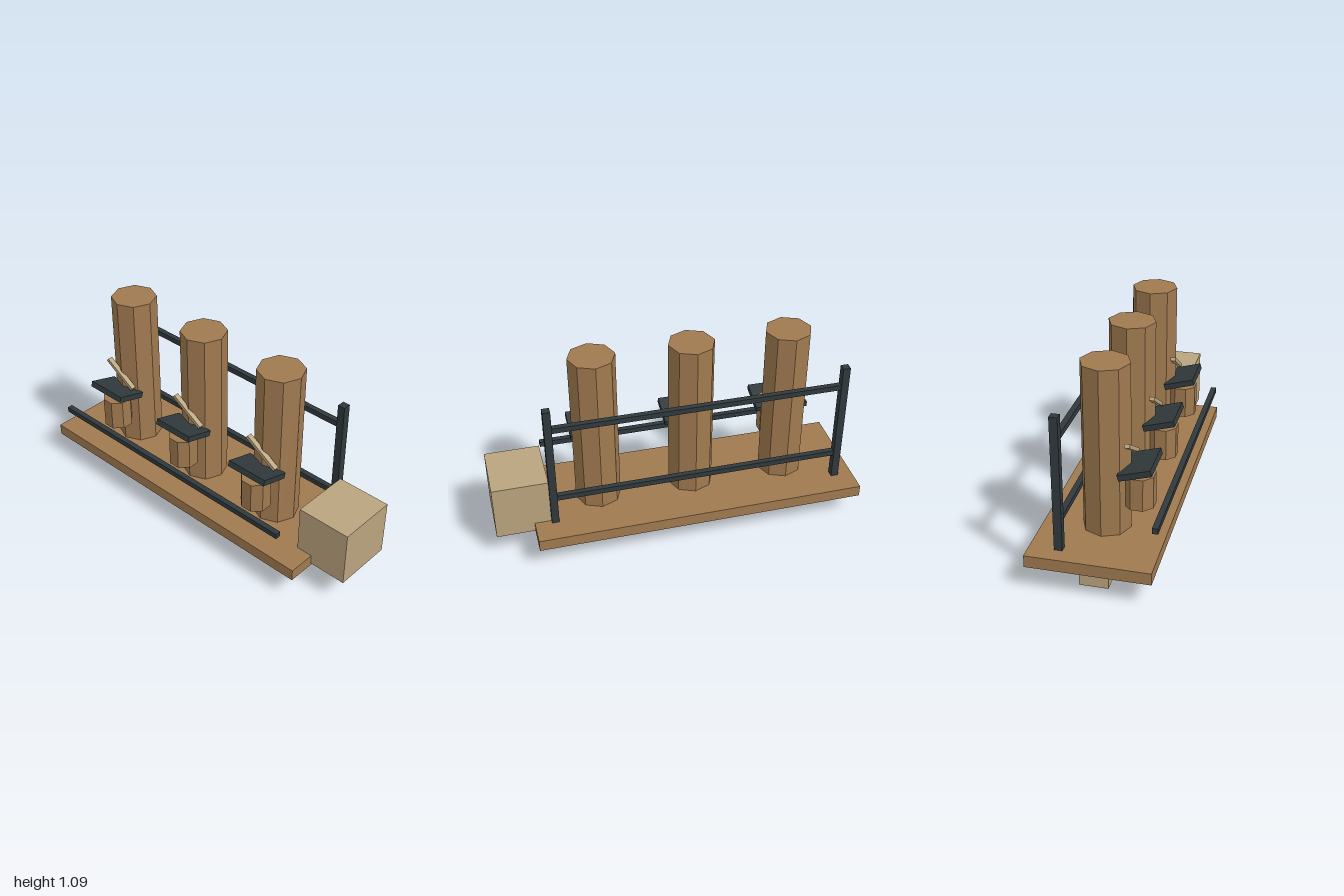
import * as THREE from 'three';

const material = (color) => new THREE.MeshStandardMaterial({ color, flatShading: true });

export function createModel() {
  const model = new THREE.Group();
  const wood = material(0xa07a50);
  const dark = material(0x30393c);
  const pale = material(0xbaa47e);

  const add = (name, geometry, mat, x, y, z, parent = model) => {
    const mesh = new THREE.Mesh(geometry, mat);
    mesh.name = name;
    mesh.position.set(x, y, z);
    parent.add(mesh);
    return mesh;
  };
  const box = (name, mat, w, h, d, x, y, z, parent) =>
    add(name, new THREE.BoxGeometry(w, h, d), mat, x, y, z, parent);

  // Platform, feet and end crate
  box('platform', wood, 1.79, 0.064, 0.626, -0.105, 0.167, -0.002);
  for (const x of [-0.822, -0.107, 0.61]) box('foot', pale, 0.148, 0.09, 0.148, x, 0.045, 0);
  box('endCrate', pale, 0.296, 0.31, 0.328, 0.848, 0.302, -0.002);

  // Rear frame and front rail
  for (const x of [-0.898, 0.681]) box('upright', dark, 0.04, 0.834, 0.042, x, 0.495, -0.167);
  for (const y of [0.792, 0.357]) box('rearRail', dark, 1.58, 0.03, 0.03, -0.108, y, -0.167);
  box('frontRail', dark, 1.58, 0.03, 0.03, -0.108, 0.366, 0.303);

  // Three repeated stations: tall post, seat support, tilted seat, lever
  for (const x of [-0.63, -0.107, 0.414]) {
    const station = new THREE.Group();
    station.name = 'station';
    station.position.x = x;
    model.add(station);

    add('post', new THREE.CylinderGeometry(0.124, 0.124, 0.97, 8), wood, 0, 0.6, 0, station);
    const support = add('seatSupport', new THREE.CylinderGeometry(0.081, 0.081, 0.172, 8),
      wood, 0, 0.426, 0.167, station);
    support.rotation.y = Math.PI / 8;

    const seat = box('seat', dark, 0.238, 0.032, 0.17, 0.001, 0.557, 0.166, station);
    seat.rotation.x = -0.283;
    const lever = box('lever', pale, 0.22, 0.02, 0.028, 0, 0.642, 0.126, station);
    lever.rotation.z = -0.56;
  }
  return model;
}
